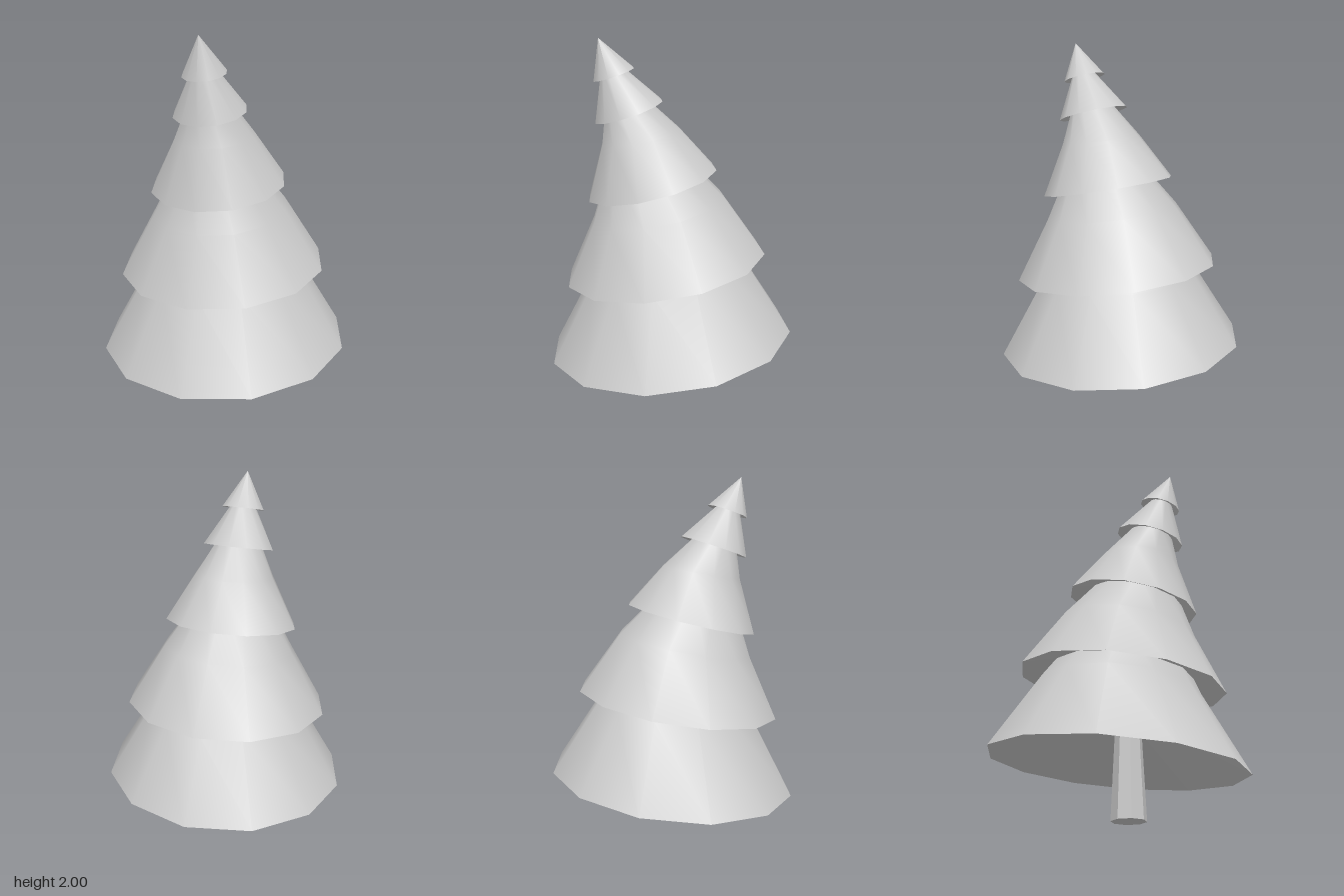
import * as THREE from 'three';
import { mergeGeometries } from 'three/addons/utils/BufferGeometryUtils.js';

const SIDES = 12;

// Each ring is [front z, front y, back z, back y, half width]; tiers lean towards the front.
const TIERS = [
  [[0.7, 0.21, -0.7, 0.37, 0.7], [0.46, 0.67, -0.43, 0.77, 0.445], [0.36, 0.93, -0.22, 1.02, 0.29]],
  [[0.6, 0.655, -0.535, 0.835, 0.575], [0.45, 1.0, -0.3, 1.15, 0.375], [0.37, 1.27, -0.02, 1.42, 0.19]],
  [[0.47, 1.13, -0.25, 1.31, 0.372], [0.39, 1.44, -0.05, 1.52, 0.22], [0.37, 1.62, 0.18, 1.72, 0.105]],
  [[0.425, 1.555, 0.055, 1.68, 0.198], [0.39, 1.82, 0.29, 1.87, 0.055]],
  [[0.43, 1.775, 0.21, 1.85, 0.118], [0.4, 2, 0.4, 2, 0]],
];

// Connects rings of points into a surface that faces outwards when the rings rise.
function loft(rings) {
  const pos = [], index = [];
  rings.forEach(([fz, fy, bz, by, w], r) => {
    for (let i = 0; i < SIDES; i++) {
      const a = (i / SIDES) * Math.PI * 2;
      const t = (1 - Math.cos(a)) / 2;
      pos.push(Math.sin(a) * w, fy + (by - fy) * t, fz + (bz - fz) * t);
      if (r === 0) continue;
      const j = (i + 1) % SIDES, lo = (r - 1) * SIDES, hi = r * SIDES;
      if (rings[r - 1][4] > 0) index.push(lo + i, lo + j, hi + i);
      if (w > 0) index.push(lo + j, hi + j, hi + i);
    }
  });
  const geo = new THREE.BufferGeometry();
  geo.setAttribute('position', new THREE.Float32BufferAttribute(pos, 3));
  geo.setIndex(index);
  return geo;
}

function tierGeometry(rings, hollow) {
  // smooth outer skirt
  const skirt = loft(rings);
  skirt.computeVertexNormals();
  // faceted hollow underside, rising to a point along the tilted axis
  const [fz, fy, bz, by, w] = rings[0];
  const rise = w * hollow;
  const y = (fy + by) / 2 + rise;
  const z = (fz + bz) / 2 + rise * (by - fy) / (fz - bz);
  const under = loft([[z, y, z, y, 0], rings[0]]).toNonIndexed();
  under.computeVertexNormals();
  return mergeGeometries([skirt.toNonIndexed(), under]);
}

export function createModel() {
  const tree = new THREE.Group();
  tree.name = 'bentFirTree';

  // Foliage tiers
  const leaves = new THREE.MeshStandardMaterial({ color: 0xcccccc });
  TIERS.forEach((rings, i) => {
    const tier = new THREE.Mesh(tierGeometry(rings, i === 0 ? 0.43 : 0.35), leaves);
    tier.name = `foliageTier${i + 1}`;
    tree.add(tier);
  });

  // Tapered faceted trunk, set slightly off centre
  const trunk = new THREE.Mesh(
    new THREE.CylinderGeometry(0.065, 0.095, 0.65, 8),
    new THREE.MeshStandardMaterial({ color: 0xcccccc, flatShading: true })
  );
  trunk.name = 'trunk';
  trunk.position.set(0.03, 0.325, 0.05);
  tree.add(trunk);

  return tree;
}
